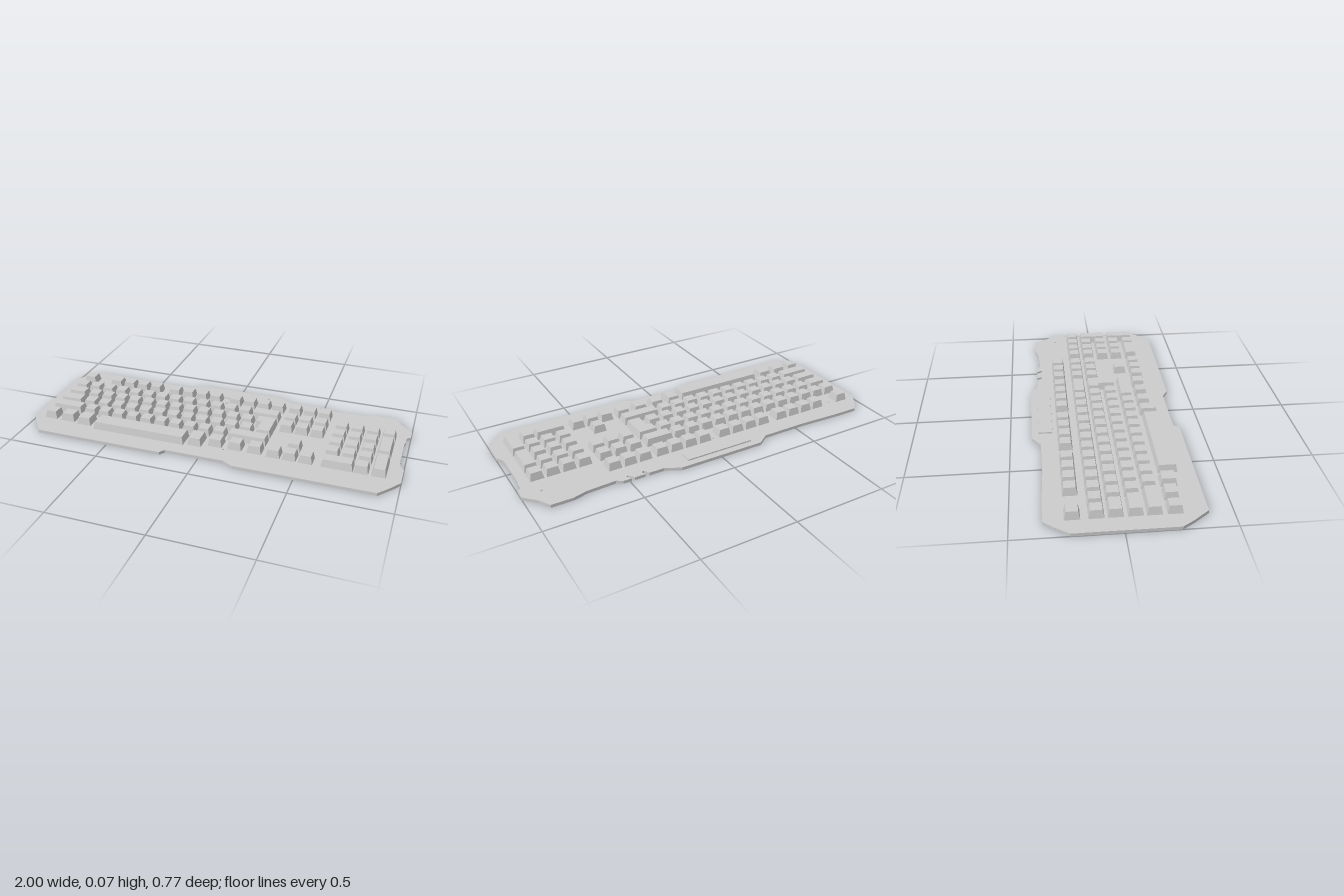
import * as THREE from 'three';

const mat = new THREE.MeshStandardMaterial({ color: 0xcccccc, flatShading: true });
const PLATE = 0.016, KEY_BOTTOM = 0.027, KEY_H = 0.04, PITCH = 0.083, KEY = 0.071;
const ROW = [-0.223, -0.117, -0.032, 0.056, 0.14, 0.231];

function add(group, geometry, name) {
  const mesh = new THREE.Mesh(geometry, mat);
  mesh.name = name;
  group.add(mesh);
  return mesh;
}

// Box whose top is drawn in on all four sides
function taperedBox(w, h, d, inset) {
  const g = new THREE.BoxGeometry(w, h, d);
  const p = g.attributes.position;
  for (let i = 0; i < p.count; i++) {
    if (p.getY(i) < 0) continue;
    p.setX(i, p.getX(i) - Math.sign(p.getX(i)) * inset);
    p.setZ(i, p.getZ(i) - Math.sign(p.getZ(i)) * inset);
  }
  g.computeVertexNormals();
  return g;
}

function createPlate(group) {
  // Outline as [x, z], starting at the back left of the top plan
  const outline = [
    [-1, -0.235], [-0.955, -0.3], [-0.91, -0.353], [-0.785, -0.353], [-0.6, -0.345],
    [-0.54, -0.343], [-0.3, -0.345], [-0.237, -0.39], [0.235, -0.39], [0.315, -0.35],
    [0.395, -0.35], [0.41, -0.32], [0.425, -0.325], [0.418, -0.35], [0.475, -0.35],
    [0.495, -0.318], [0.508, -0.325], [0.49, -0.35], [0.535, -0.35], [0.565, -0.33], [0.72, -0.338],
    [0.79, -0.357], [0.905, -0.357], [0.94, -0.297], [1, -0.235], [1, -0.178],
    [0.98, -0.163], [0.98, -0.12], [0.975, -0.1], [0.975, 0.095], [0.98, 0.118],
    [1, 0.15], [1, 0.265], [0.96, 0.32], [0.905, 0.385], [0.19, 0.385],
    [0.135, 0.355], [-0.18, 0.355], [-0.2, 0.385], [-0.9, 0.385], [-0.96, 0.31], [-1, 0.25],
  ];
  const shape = new THREE.Shape(outline.map(([x, z]) => new THREE.Vector2(x, -z)));
  const g = new THREE.ExtrudeGeometry(shape, { depth: PLATE, bevelEnabled: false });
  g.rotateX(-Math.PI / 2);
  add(group, g, 'basePlate');
}

function createKeys() {
  const keys = new THREE.Group();
  keys.name = 'keys';
  const key = (x, z, w = KEY, d = KEY, name = 'key') =>
    add(keys, taperedBox(w, KEY_H, d, 0.008), name).position.set(x, KEY_BOTTOM + KEY_H / 2, z);
  const run = (x, z, n) => {
    for (let i = 0; i < n; i++) key(x + i * PITCH, z);
  };

  // Function row
  run(-0.889, ROW[0], 1);
  for (const x of [-0.718, -0.349, 0.02]) run(x, ROW[0], 4);

  // Main block
  run(-0.889, ROW[1], 13);
  key(0.227, ROW[1], 0.152, KEY, 'backspaceKey');
  key(-0.872, ROW[2], 0.104, KEY, 'tabKey');
  run(-0.769, ROW[2], 12);
  key(-0.861, ROW[3], 0.126, KEY, 'capsLockKey');
  run(-0.748, ROW[3], 12);
  key(-0.839, ROW[4], 0.171, KEY, 'leftShiftKey');
  run(-0.702, ROW[4], 10);
  key(0.199, ROW[4], 0.209, KEY, 'rightShiftKey');

  // Stepped enter key from two overlapping arms
  key(0.249, ROW[2], 0.11, KEY, 'enterKeyTop');
  key(0.263, 0.012, 0.082, 0.159, 'enterKeyStem');

  // Bottom row
  key(-0.889, ROW[5]);
  key(-0.788, ROW[5], 0.08);
  key(-0.686, 0.236, 0.08, 0.08);
  key(-0.36, 0.248, 0.513, 0.096, 'spaceBar');
  key(-0.047, 0.238, 0.075, 0.096);
  for (const x of [0.057, 0.162, 0.266]) key(x, 0.226, 0.075);

  // Navigation block and arrows
  for (const r of [0, 1, 2, 5]) run(0.365, ROW[r], 3);
  key(0.448, ROW[4]);

  // Number pad
  run(0.643, ROW[1], 4);
  for (const r of [2, 3, 4]) run(0.643, ROW[r], 3);
  key(0.687, ROW[5], 0.158, KEY, 'padZeroKey');
  key(0.806, ROW[5]);
  key(0.891, 0.012, KEY, 0.159, 'padPlusKey');
  key(0.891, 0.186, KEY, 0.162, 'padEnterKey');
  return keys;
}

export function createModel() {
  const model = new THREE.Group();
  model.name = 'keyboard';
  createPlate(model);

  // Low raised bar along the back
  add(model, taperedBox(0.38, 0.018, 0.075, 0.002), 'rearBar').position.set(-0.01, 0.014, -0.318);

  // Small studs on the plate
  for (const [x, z] of [[-0.825, -0.228], [-0.043, -0.228], [0.903, -0.228], [0.1, 0.255]]) {
    add(model, new THREE.CylinderGeometry(0.006, 0.006, 0.006, 12), 'stud').position.set(x, PLATE + 0.002, z);
  }

  model.add(createKeys());
  return model;
}
